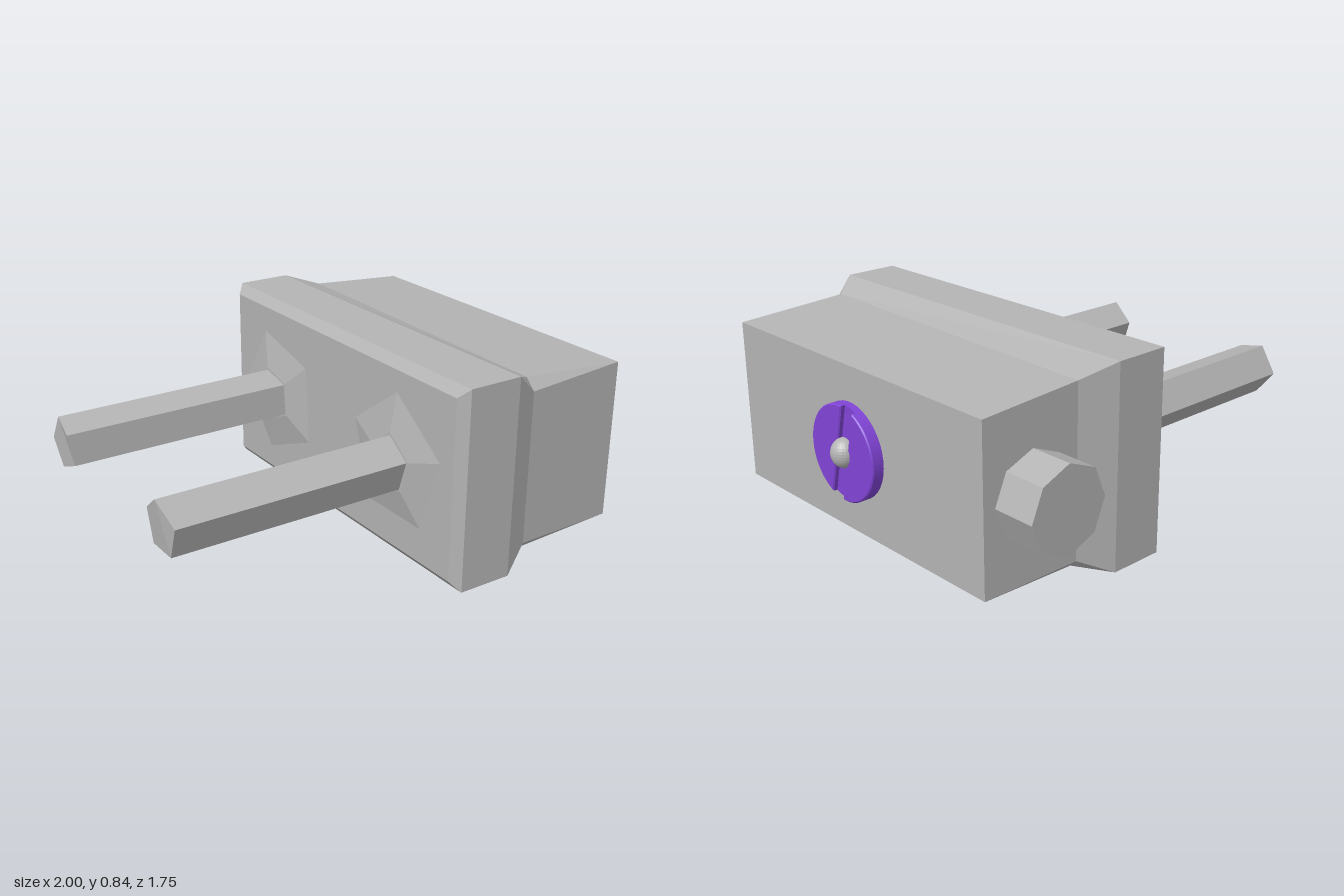
import * as THREE from 'three';

const grey = new THREE.MeshStandardMaterial({ color: 0xb4b4b4, flatShading: true });
grey.name = 'metalGrey';
const smoothGrey = grey;
const purple = new THREE.MeshStandardMaterial({ color: 0x8144d6 });
purple.name = 'screwPurple';

// Joins rings of [x, y, z] points (ordered from -x to +x) and closes both ends
function loft(rings) {
  const n = rings[0].length, idx = [];
  for (let i = 0; i < rings.length - 1; i++) {
    for (let j = 0; j < n; j++) {
      const k = (j + 1) % n;
      const a = i * n + j, b = i * n + k, c = (i + 1) * n + k, d = (i + 1) * n + j;
      idx.push(a, b, c, a, c, d);
    }
  }
  const last = (rings.length - 1) * n;
  for (let j = 1; j < n - 1; j++) {
    idx.push(0, j + 1, j, last, last + j, last + j + 1);
  }
  const g = new THREE.BufferGeometry();
  g.setAttribute('position', new THREE.Float32BufferAttribute(rings.flat(2), 3));
  g.setIndex(idx);
  const flat = g.toNonIndexed();
  flat.computeVertexNormals();
  return flat;
}

// Rectangular section with cut corners; xb is x at the back side
function section(xb, xf, y0, y1, zb, zf, front = 0, low = 0) {
  return [
    [xb, y1, zb], [xb, y1, zb],
    [xf, y1, zf - front], [xf, y1 - front, zf],
    [xf, y0 + front, zf], [xf, y0, zf - front],
    [xb, y0, zb + low], [xb, y0 + low, zb],
  ];
}

// Five-sided ring around the x axis, turned by an angle from +y towards +z
function pentagon(x, z, r, turn, tip = -1) {
  return Array.from({ length: 5 }, (_, i) => {
    const a = turn + (i * Math.PI * 2) / 5;
    return [i === tip ? x - 0.02 : x, 0.42 + r * Math.cos(a), z + r * Math.sin(a)];
  });
}

export function createModel() {
  const model = new THREE.Group();
  model.name = 'plugModel';
  const add = (name, geometry, material, parent = model) => {
    const mesh = new THREE.Mesh(geometry, material);
    mesh.name = name;
    parent.add(mesh);
    return mesh;
  };

  // Housing: wide collar stepping down to a tapered block
  add('housing', loft([
    section(0.05, 0.05, 0.04, 0.8, -0.73, 0.83),
    section(0.085, 0.085, 0, 0.84, -0.765, 0.87),
    section(0.32, 0.32, 0, 0.84, -0.765, 0.87),
    section(0.47, 0.43, 0.05, 0.79, -0.705, 0.83, 0.045, 0.03),
    section(0.91, 0.91, 0.08, 0.76, -0.697, 0.8),
  ]), grey);

  // Prongs with shallow flared roots
  for (const [name, z, turn, tip] of [['back', -0.395, -0.385, 1], ['front', 0.475, 0, 0]]) {
    add(name + 'Prong', loft([
      pentagon(-0.98, z, 0.115, turn, tip),
      pentagon(0.06, z, 0.115, turn),
    ]), grey);
    add(name + 'ProngRoot', loft([
      pentagon(0.02, z, 0.125, turn),
      pentagon(0.052, z, 0.3, turn),
    ]), grey);
  }

  // Eight-sided knob on the back
  const knob = add('backKnob', new THREE.CylinderGeometry(0.175, 0.175, 0.2, 8).rotateX(Math.PI / 2), grey);
  knob.position.set(0.683, 0.42, -0.78);

  // Slotted screw on the left side, built facing +z then turned to +x
  const screw = new THREE.Group();
  screw.name = 'slottedScrew';
  const base = add('screwBase', new THREE.CylinderGeometry(0.195, 0.195, 0.035, 40).rotateX(Math.PI / 2), purple, screw);
  base.position.z = 0.0175;
  const half = Math.asin(0.037 / 0.19);
  for (const side of [0, Math.PI]) {
    const shape = new THREE.Shape();
    shape.absarc(0, 0, 0.19, -Math.PI / 2 + half, Math.PI / 2 - half, false);
    const raised = add('screwHalf', new THREE.ExtrudeGeometry(shape, {
      depth: 0.025, curveSegments: 24, bevelThickness: 0.005, bevelSize: 0.005, bevelOffset: 0, bevelSegments: 1,
    }), purple, screw);
    raised.position.z = 0.025;
    raised.rotation.z = side;
  }
  screw.rotation.set(0, Math.PI / 2, -0.225, 'YZX');
  screw.position.set(0.905, 0.42, 0.055);
  model.add(screw);

  // Small dome at the screw centre
  const dome = add('screwDome', new THREE.SphereGeometry(0.055, 24, 16), smoothGrey);
  dome.scale.y = 1.1;
  dome.position.set(0.945, 0.42, 0.057);

  return model;
}
